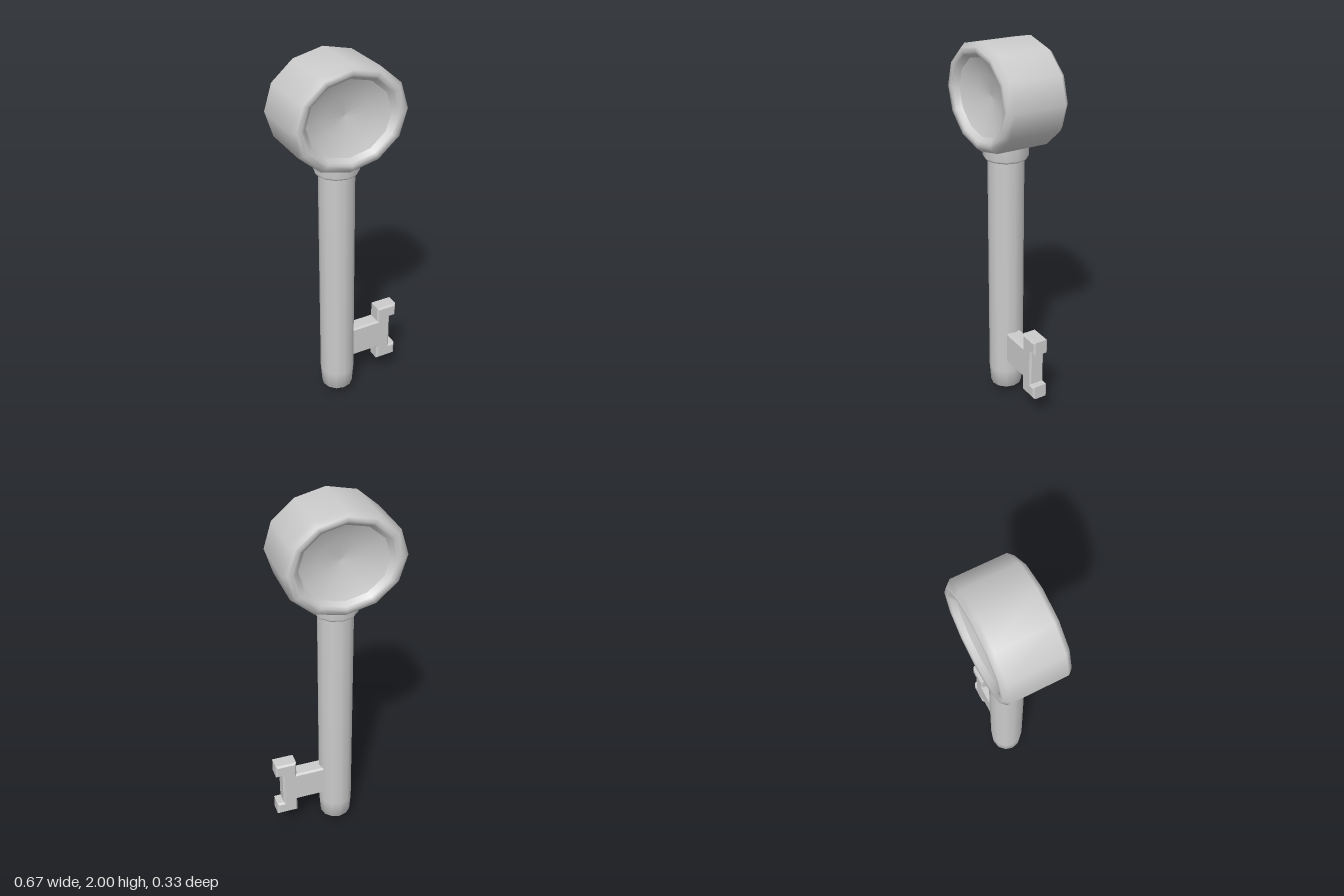
import * as THREE from 'three';

const material = new THREE.MeshStandardMaterial({ color: 0xcccccc });
const AXIS_X = -0.021; // the shaft axis sits slightly off centre because of the bit

function lathe(name, points, sides = 12) {
  const profile = points.map(([r, h]) => new THREE.Vector2(r, h));
  const mesh = new THREE.Mesh(new THREE.LatheGeometry(profile, sides), material);
  mesh.name = name;
  return mesh;
}

export function createModel() {
  const key = new THREE.Group();
  key.name = 'key';

  // Shaft with a blunt pointed tip
  const shaft = lathe('shaft', [
    [0, 0], [0.03, 0.018], [0.086, 0.054], [0.094, 0.16], [0.094, 1.46],
  ]);
  shaft.position.x = AXIS_X;
  key.add(shaft);

  // Collar under the bow
  const collar = lathe('collar', [
    [0.09, 1.4], [0.108, 1.4], [0.117, 1.412], [0.117, 1.5],
  ]);
  collar.position.x = AXIS_X;
  key.add(collar);

  // Bow: oval drum of twelve sides, axis along z, with a rounded rim
  const bow = new THREE.Group();
  bow.name = 'bow';
  bow.add(lathe('rim', [
    [0.725, -0.135], [0.79, -0.16], [0.84, -0.167], [0.92, -0.167], [1, -0.14],
    [1, 0.14], [0.92, 0.167], [0.84, 0.167], [0.79, 0.16], [0.725, 0.135],
  ]));
  // Shallow dish closing each end of the drum
  const frontDish = lathe('frontDish', [[0.725, 0.135], [0.4, 0.095], [0, 0.08]]);
  const backDish = lathe('backDish', [[0, -0.08], [0.4, -0.095], [0.725, -0.135]]);
  bow.add(frontDish, backDish);
  bow.rotation.x = Math.PI / 2;
  bow.scale.set(0.315, 1, 0.273);
  bow.position.set(AXIS_X, 1.727, 0);
  key.add(bow);

  // Bit: T-shaped plate with a notched end and bevelled edges
  const outline = [
    [0.03, 0.225], [0.218, 0.225], [0.218, 0.142], [0.335, 0.142], [0.335, 0.218], [0.298, 0.218],
    [0.298, 0.417], [0.335, 0.417], [0.335, 0.495], [0.218, 0.495], [0.218, 0.41], [0.03, 0.41],
  ];
  const bitGeometry = new THREE.ExtrudeGeometry(
    new THREE.Shape(outline.map(([x, y]) => new THREE.Vector2(x, y))),
    { depth: 0.066, bevelThickness: 0.01, bevelSize: 0.01, bevelOffset: -0.01, bevelSegments: 1 },
  );
  bitGeometry.translate(0, 0, -0.033);
  const bit = new THREE.Mesh(bitGeometry, material);
  bit.name = 'bit';
  key.add(bit);

  return key;
}
